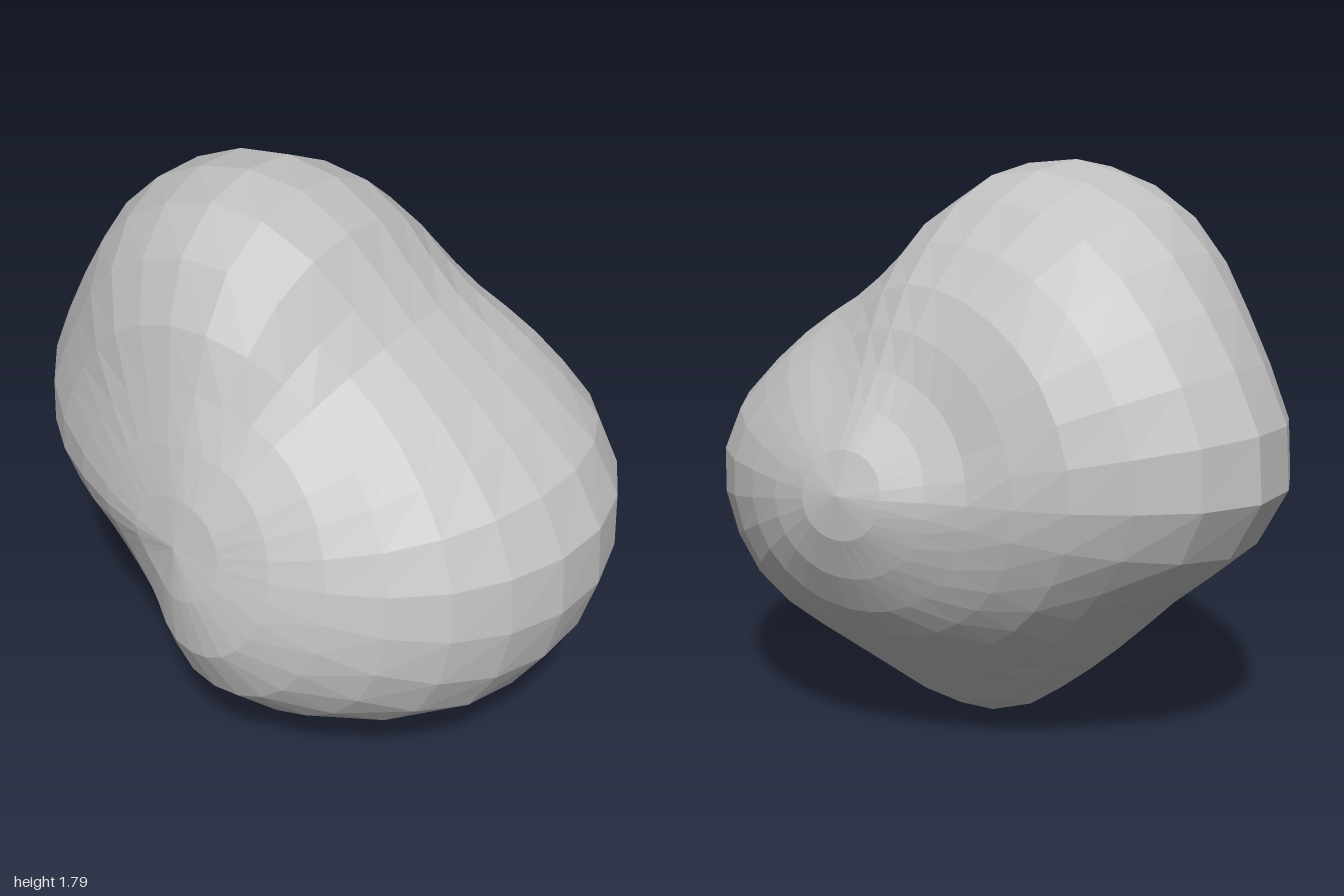
import * as THREE from 'three';

// Boulder radius every 30 degrees around z (columns), from the front pole to the back pole (rows)
const RINGS = [
  Array(12).fill(0.82),
  [0.87, 0.80, 0.77, 0.82, 0.82, 0.82, 0.83, 0.78, 0.80, 0.91, 0.95, 0.93],
  [0.945, 0.77, 0.73, 0.96, 0.97, 0.91, 0.92, 0.77, 0.75, 0.86, 0.92, 1.01],
  [0.97, 0.73, 0.68, 0.88, 0.96, 0.96, 1.00, 0.75, 0.735, 0.86, 0.84, 0.99],
  [0.88, 0.73, 0.65, 0.72, 0.75, 0.79, 0.80, 0.72, 0.68, 0.70, 0.76, 0.87],
  [0.75, 0.69, 0.63, 0.62, 0.60, 0.61, 0.65, 0.65, 0.66, 0.69, 0.73, 0.76],
  Array(12).fill(0.70),
];

// Smooth curve through four neighbouring values
function smooth(a, b, c, d, t) {
  return b + 0.5 * t * (c - a + t * (2 * a - 5 * b + 4 * c - d + t * (3 * (b - c) + d - a)));
}

// Ring value; rows past a pole continue on the opposite side
function ringValue(row, col) {
  if (row < 0) { row = -row; col += 6; }
  if (row > 6) { row = 12 - row; col += 6; }
  return RINGS[row][(col + 24) % 12];
}

function radiusAt(theta, phi) {
  const u = (theta / (Math.PI / 6) + 12) % 12, v = phi / (Math.PI / 6);
  const i = Math.floor(u), j = Math.min(5, Math.floor(v));
  const rows = [-1, 0, 1, 2].map(k =>
    smooth(...[-1, 0, 1, 2].map(m => ringValue(j + k, i + m)), u - i));
  return smooth(...rows, v - j);
}

export function createModel() {
  const group = new THREE.Group();
  group.name = 'boulder';

  // Sphere with its poles on z, pushed in and out along each direction
  const geometry = new THREE.SphereGeometry(1, 32, 16).rotateX(Math.PI / 2);
  const pos = geometry.attributes.position;
  const p = new THREE.Vector3();
  for (let i = 0; i < pos.count; i++) {
    p.fromBufferAttribute(pos, i).normalize();
    const phi = Math.acos(THREE.MathUtils.clamp(p.z, -1, 1));
    p.multiplyScalar(radiusAt(Math.atan2(p.y, p.x), phi));
    pos.setXYZ(i, p.x, p.y, p.z);
  }
  geometry.translate(0, 0.86, -0.07);
  geometry.computeVertexNormals();

  const stone = new THREE.MeshStandardMaterial({ color: 0xc2c2c2, flatShading: true });
  stone.name = 'light grey stone';
  const rock = new THREE.Mesh(geometry, stone);
  rock.name = 'rock';
  group.add(rock);
  return group;
}
